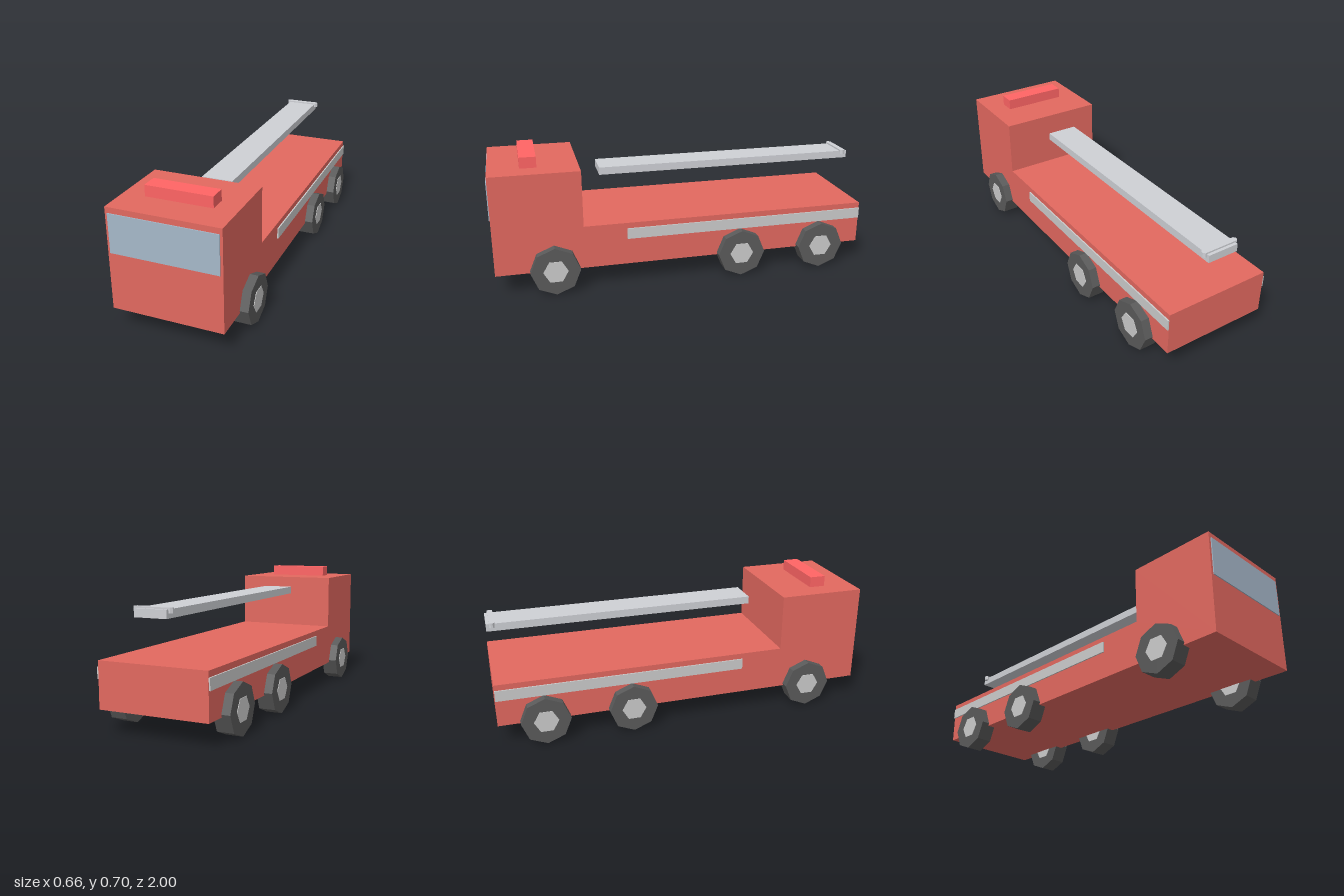
import * as THREE from 'three';

const mat = (color) => new THREE.MeshStandardMaterial({ color, flatShading: true });
const red = mat(0xe2685f), beaconRed = mat(0xff6464), glass = mat(0xa6b8c9);
const silver = mat(0xcccccc), ladderGrey = mat(0xced0d5), rubber = mat(0x5a5a5a);

// Box given by its extents: [min, max] along x, y and z
function box(name, [x0, x1], [y0, y1], [z0, z1], material) {
  const mesh = new THREE.Mesh(new THREE.BoxGeometry(x1 - x0, y1 - y0, z1 - z0), material);
  mesh.name = name;
  mesh.position.set((x0 + x1) / 2, (y0 + y1) / 2, (z0 + z1) / 2);
  return mesh;
}

// Octagonal tyre with a hexagonal hub showing on both faces, axle along x
function wheel(name, x, z) {
  const group = new THREE.Group();
  group.name = name;
  for (const [part, radius, width, sides, material] of [
    ['tyre', 0.128, 0.086, 8, rubber],
    ['hub', 0.064, 0.091, 6, silver],
  ]) {
    const geometry = new THREE.CylinderGeometry(radius, radius, width, sides).rotateZ(Math.PI / 2);
    const mesh = new THREE.Mesh(geometry, material);
    mesh.name = part;
    group.add(mesh);
  }
  group.position.set(x, 0.128, z);
  return group;
}

// Crossbar at the ladder tip: flat bar with chamfered ends
function crossbar() {
  const w = 0.1, h = 0.014, c = 0.009;
  const shape = new THREE.Shape([
    [-w + c, -h], [w - c, -h], [w, -h + c], [w, h - c],
    [w - c, h], [-w + c, h], [-w, h - c], [-w, -h + c],
  ].map(([x, y]) => new THREE.Vector2(x, y)));
  const geometry = new THREE.ExtrudeGeometry(shape, { depth: 0.025, bevelEnabled: false });
  const mesh = new THREE.Mesh(geometry.rotateX(-Math.PI / 2), ladderGrey);
  mesh.name = 'ladderCrossbar';
  mesh.position.set(0, 0.573, -0.971);
  return mesh;
}

export function createModel() {
  const truck = new THREE.Group();
  truck.name = 'fireTruck';

  // Body: side profile of tall cab and low bed, extruded across x
  const profile = new THREE.Shape([
    [-0.995, 0.115], [1, 0.115], [1, 0.344], [-0.537, 0.344], [-0.537, 0.641], [-0.995, 0.641],
  ].map(([x, y]) => new THREE.Vector2(x, y)));
  const bodyGeometry = new THREE.ExtrudeGeometry(profile, { depth: 0.568, bevelEnabled: false });
  const body = new THREE.Mesh(bodyGeometry.translate(0, 0, -0.284).rotateY(Math.PI / 2), red);
  body.name = 'body';
  truck.add(body);

  // Cab fittings
  truck.add(box('windshield', [-0.271, 0.271], [0.413, 0.612], [0.985, 1], glass));
  truck.add(box('lightBar', [-0.171, 0.171], [0.64, 0.698], [0.748, 0.834], beaconRed));

  // Side trim and raised ladder
  for (const s of [-1, 1]) {
    const x = s < 0 ? [-0.291, -0.27] : [0.27, 0.291];
    truck.add(box(s < 0 ? 'rightTrim' : 'leftTrim', x, [0.257, 0.314], [-0.999, 0.312], silver));
  }
  truck.add(box('ladder', [-0.083, 0.083], [0.55, 0.59], [-1, 0.422], ladderGrey));
  truck.add(crossbar());

  // Three axles
  for (const [axle, z] of [['front', 0.692], ['middle', -0.303], ['rear', -0.76]]) {
    truck.add(wheel(axle + 'LeftWheel', 0.285, z), wheel(axle + 'RightWheel', -0.285, z));
  }
  return truck;
}
